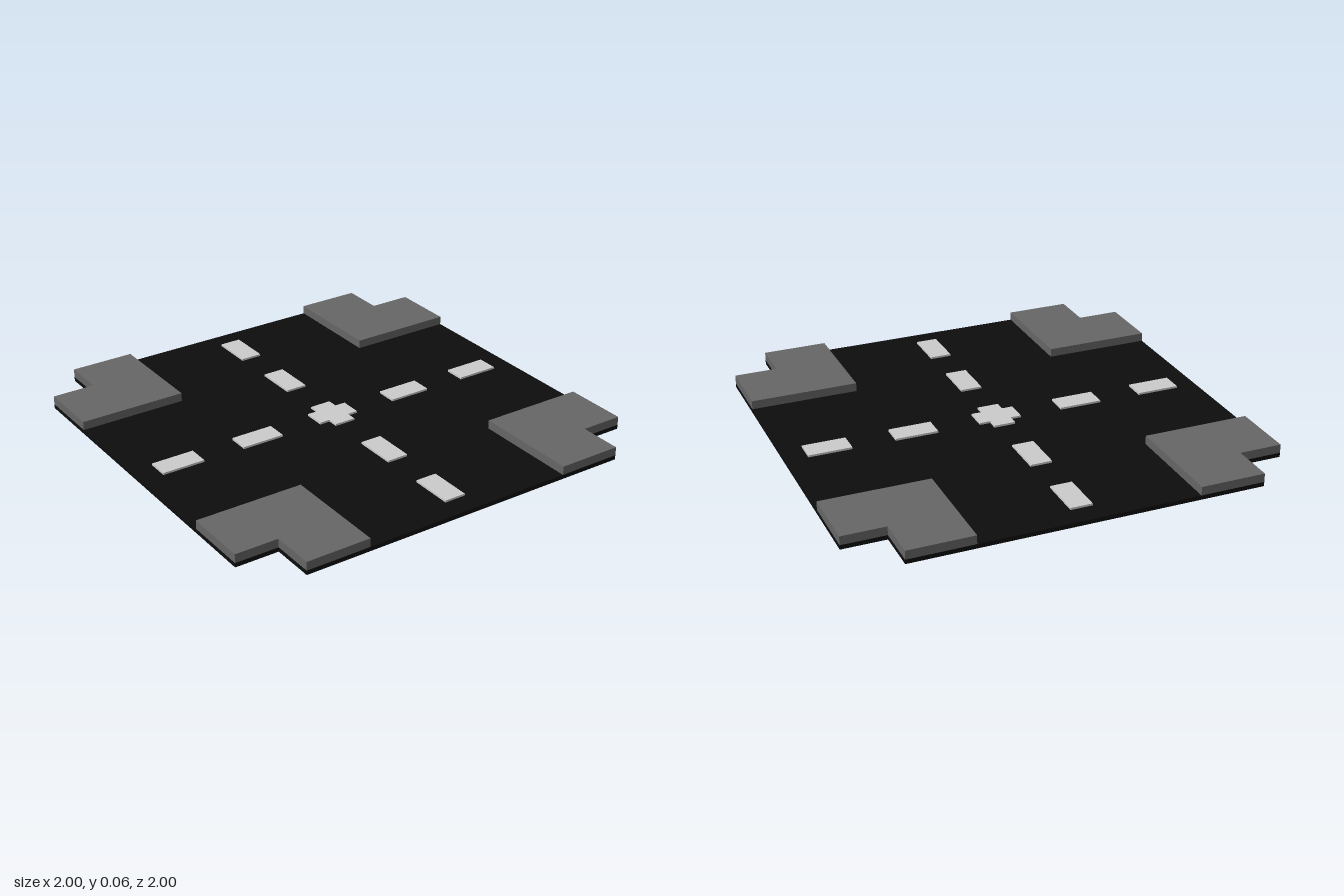
import * as THREE from 'three';

const asphalt = new THREE.MeshStandardMaterial({ name: 'asphalt', color: 0x0d0d0d });
const concrete = new THREE.MeshStandardMaterial({ name: 'concrete', color: 0x666666 });
const paint = new THREE.MeshStandardMaterial({ name: 'road paint', color: 0xcccccc });

const ROAD_TOP = 0.02;

// Flat slab cut from an outline, lying on the ground plane at height y
function slab(name, points, y, height, material) {
  const shape = new THREE.Shape(points.map(([x, z]) => new THREE.Vector2(x, z)));
  const geometry = new THREE.ExtrudeGeometry(shape, { depth: height, bevelEnabled: false });
  geometry.rotateX(-Math.PI / 2);
  const mesh = new THREE.Mesh(geometry, material);
  mesh.name = name;
  mesh.position.y = y;
  return mesh;
}

// Plus-shaped outline: a is the arm reach, b the arm half width
const plus = (a, b) => [
  [a, -b], [a, b], [b, b], [b, a], [-b, a], [-b, b],
  [-a, b], [-a, -b], [-b, -b], [-b, -a], [b, -a], [b, -b],
];

export function createModel() {
  const model = new THREE.Group();
  model.name = 'crossroads';

  // Road bed with notched corners, and the painted cross in the middle
  model.add(slab('roadBed', plus(1, 0.8), 0, ROAD_TOP, asphalt));
  model.add(slab('centreCross', plus(0.1, 0.05), ROAD_TOP, 0.0095, paint));

  const pavement = [[0.5, 0.5], [1, 0.5], [1, 0.8], [0.8, 0.8], [0.8, 1], [0.5, 1]];
  const dash = new THREE.BoxGeometry(0.2, 0.0095, 0.1);

  // Each quarter turn has one raised pavement corner and one road arm with two dashes
  for (let i = 0; i < 4; i++) {
    const quarter = new THREE.Group();
    quarter.name = `quarter${i + 1}`;
    quarter.rotation.y = (i * Math.PI) / 2;
    quarter.add(slab('pavementCorner', pavement, ROAD_TOP, 0.04, concrete));
    for (const x of [0.4, 0.8]) {
      const mark = new THREE.Mesh(dash, paint);
      mark.name = 'laneDash';
      mark.position.set(x, ROAD_TOP + 0.00475, 0);
      quarter.add(mark);
    }
    model.add(quarter);
  }
  return model;
}
